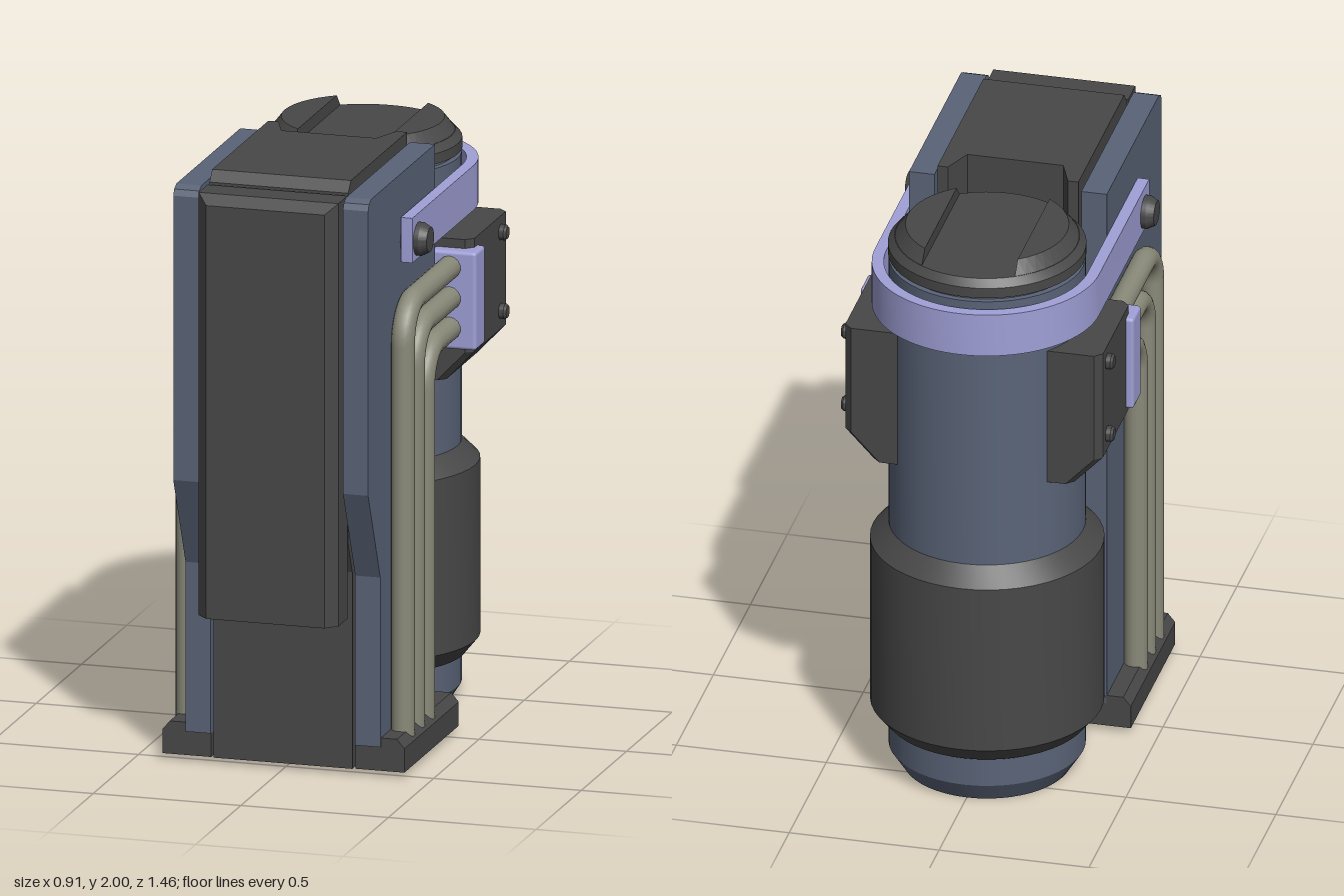
import * as THREE from 'three';
import { toCreasedNormals } from 'three/addons/utils/BufferGeometryUtils.js';
import { RoundedBoxGeometry } from 'three/addons/geometries/RoundedBoxGeometry.js';
import { ConvexGeometry } from 'three/addons/geometries/ConvexGeometry.js';

const material = (color) => new THREE.MeshStandardMaterial({ color });
const dark = material(0x484848);
const blue = material(0x5a6478);
const lilac = material(0xa0a0d8);
const olive = material(0x8a8a7a);
const TANK_Z = -0.35;

function add(parent, name, geometry, mat, x = 0, y = 0, z = 0) {
  const mesh = new THREE.Mesh(geometry, mat);
  mesh.name = name;
  mesh.position.set(x, y, z);
  parent.add(mesh);
  return mesh;
}

const hull = (points) => new ConvexGeometry(points.map((p) => new THREE.Vector3(...p)));

const lathe = (profile) => toCreasedNormals(
  new THREE.LatheGeometry(profile.map(([r, y]) => new THREE.Vector2(r, y)), 48), 0.4);

// Side profile given as [z, y], extruded along x and centred
function sideExtrude(profile, width) {
  const shape = new THREE.Shape(profile.map(([z, y]) => new THREE.Vector2(z, y)));
  return new THREE.ExtrudeGeometry(shape, { depth: width, bevelEnabled: false })
    .rotateY(-Math.PI / 2).translate(width / 2, 0, 0);
}

// Bolt head along x with a chamfered outer rim, s is the side it points to
function bolt(r, length) {
  return lathe([[0, 0], [r, 0], [r, length * 0.7], [r * 0.75, length], [0, length]]);
}

function addBolt(parent, name, s, r, length, x, y, z) {
  add(parent, name, bolt(r, length), dark, s * x, y, z).rotation.z = -s * Math.PI / 2;
}

function buildTank() {
  const tank = new THREE.Group();
  tank.name = 'tank';
  tank.position.z = TANK_Z;
  add(tank, 'tankBody', lathe([[0, 0], [0.275, 0], [0.32, 0.07], [0.32, 1.845],
    [0.3, 1.845], [0.3, 1.87]]), blue);
  add(tank, 'tankSleeve', lathe([[0.31, 0.175], [0.335, 0.175], [0.38, 0.23],
    [0.38, 0.82], [0.32, 0.88]]), dark);
  add(tank, 'lid', lathe([[0, 1.86], [0.322, 1.86], [0.322, 1.895], [0.3, 1.92], [0, 1.92]]), dark);
  // Two raised segments leave a slot across the lid
  for (const s of [1, -1]) {
    const points = [];
    for (const [r, y] of [[0.302, 1.915], [0.265, 1.962]]) {
      const end = Math.acos(0.155 / r);
      for (let i = 0; i <= 16; i++) {
        const a = end * (i / 8 - 1);
        points.push([s * r * Math.cos(a), y, r * Math.sin(a)]);
      }
    }
    add(tank, 'lidSegment', hull(points), dark);
  }
  return tank;
}

function buildStrap() {
  const outer = 0.374, inner = 0.335, leg = 0.325 - TANK_Z;
  // Shape y points to the back
  const shape = new THREE.Shape();
  shape.moveTo(outer, -leg);
  shape.lineTo(outer, 0);
  shape.absarc(0, 0, outer, 0, Math.PI, false);
  shape.lineTo(-outer, -leg);
  shape.lineTo(-inner, -leg);
  shape.lineTo(-inner, 0);
  shape.absarc(0, 0, inner, Math.PI, 0, true);
  shape.lineTo(inner, -leg);
  const geometry = new THREE.ExtrudeGeometry(shape,
    { depth: 0.15, bevelEnabled: false, curveSegments: 24 }).rotateX(-Math.PI / 2);
  return toCreasedNormals(geometry, 0.4);
}

// Pipe rising from the foot and bending back to the clip
function pipe(s, z, y) {
  const x = s * 0.365, bend = 0.125;
  const v = (py, pz) => new THREE.Vector3(x, py, pz);
  const path = new THREE.CurvePath();
  path.add(new THREE.LineCurve3(v(0.11, z), v(y - bend, z)));
  const k = bend * 0.448;
  path.add(new THREE.CubicBezierCurve3(v(y - bend, z), v(y - k, z), v(y, z - k), v(y, z - bend)));
  path.add(new THREE.LineCurve3(v(y, z - bend), v(y, -0.15)));
  return new THREE.TubeGeometry(path, 90, 0.039, 14, false);
}

function buildSide(s) {
  const side = new THREE.Group();
  side.name = s > 0 ? 'leftSide' : 'rightSide';

  add(side, 'sidePlate', sideExtrude([[-0.07, 0.1], [0.535, 0.1], [0.535, 0.67], [0.67, 0.98],
    [0.67, 1.935], [0.66, 1.955], [0.635, 1.967], [-0.07, 1.967]], 0.085), blue, s * 0.2875);

  // Foot with a chamfered outer edge
  const foot = [];
  for (const z of [-0.07, 0.53]) {
    for (const [x, y] of [[0.245, 0.02], [0.41, 0.02], [0.41, 0.1], [0.385, 0.13], [0.245, 0.13]]) {
      foot.push([s * x, y, z]);
    }
  }
  add(side, 'foot', hull(foot), dark);

  for (const [z, y] of [[0.4, 1.545], [0.29, 1.442], [0.18, 1.34]]) {
    add(side, 'pipe', pipe(s, z, y), olive);
    add(side, 'pipeEnd', new THREE.SphereGeometry(0.039, 14, 10), olive, s * 0.365, 0.13, z);
  }
  add(side, 'pipeClip', new RoundedBoxGeometry(0.155, 0.33, 0.108, 2, 0.012), lilac,
    s * 0.378, 1.435, -0.165);

  // Valve box: chamfered corners and a sloped underside
  const box = [];
  for (const [y, x] of [[1.63, 0.43], [1.25, 0.43], [1.15, 0.335]]) {
    for (const [px, z] of [[0.2, -0.155], [x - 0.025, -0.155], [x, -0.18],
      [x, -0.525], [x - 0.025, -0.55], [0.2, -0.55]]) {
      box.push([s * px, y, z]);
    }
  }
  add(side, 'valveBox', hull(box), dark);
  for (const y of [1.575, 1.31]) addBolt(side, 'valveBolt', s, 0.026, 0.027, 0.427, y, -0.47);
  addBolt(side, 'strapBolt', s, 0.055, 0.085, 0.33, 1.74, 0.26);

  // Rear post of the housing, cut away at an angle beside the tank
  const post = [];
  for (const y of [0.02, 2]) {
    for (const [x, z] of [[0.235, -0.07], [0.2, -0.07], [0.16, 0.03], [0.235, 0.03]]) {
      post.push([s * x, y, z]);
    }
  }
  add(side, 'housingPost', hull(post), dark);
  return side;
}

export function createModel() {
  const model = new THREE.Group();
  model.name = 'model';

  add(model, 'housing', sideExtrude([[0.03, 0.02], [0.535, 0.02], [0.535, 0.68], [0.58, 0.785],
    [0.58, 1.965], [0.55, 2], [0.03, 2]], 0.47), dark);

  // Front cover, chamfered along its sides and top
  const cover = [];
  for (const s of [1, -1]) {
    for (const y of [0.54, 1.96]) cover.push([s * 0.237, y, 0.595], [s * 0.237, y, 0.693]);
    cover.push([s * 0.2, 0.54, 0.73], [s * 0.2, 1.928, 0.73]);
  }
  add(model, 'frontCover', hull(cover), dark);

  model.add(buildTank());
  add(model, 'strap', buildStrap(), lilac, 0, 1.675, TANK_Z);
  for (const s of [1, -1]) model.add(buildSide(s));
  return model;
}
